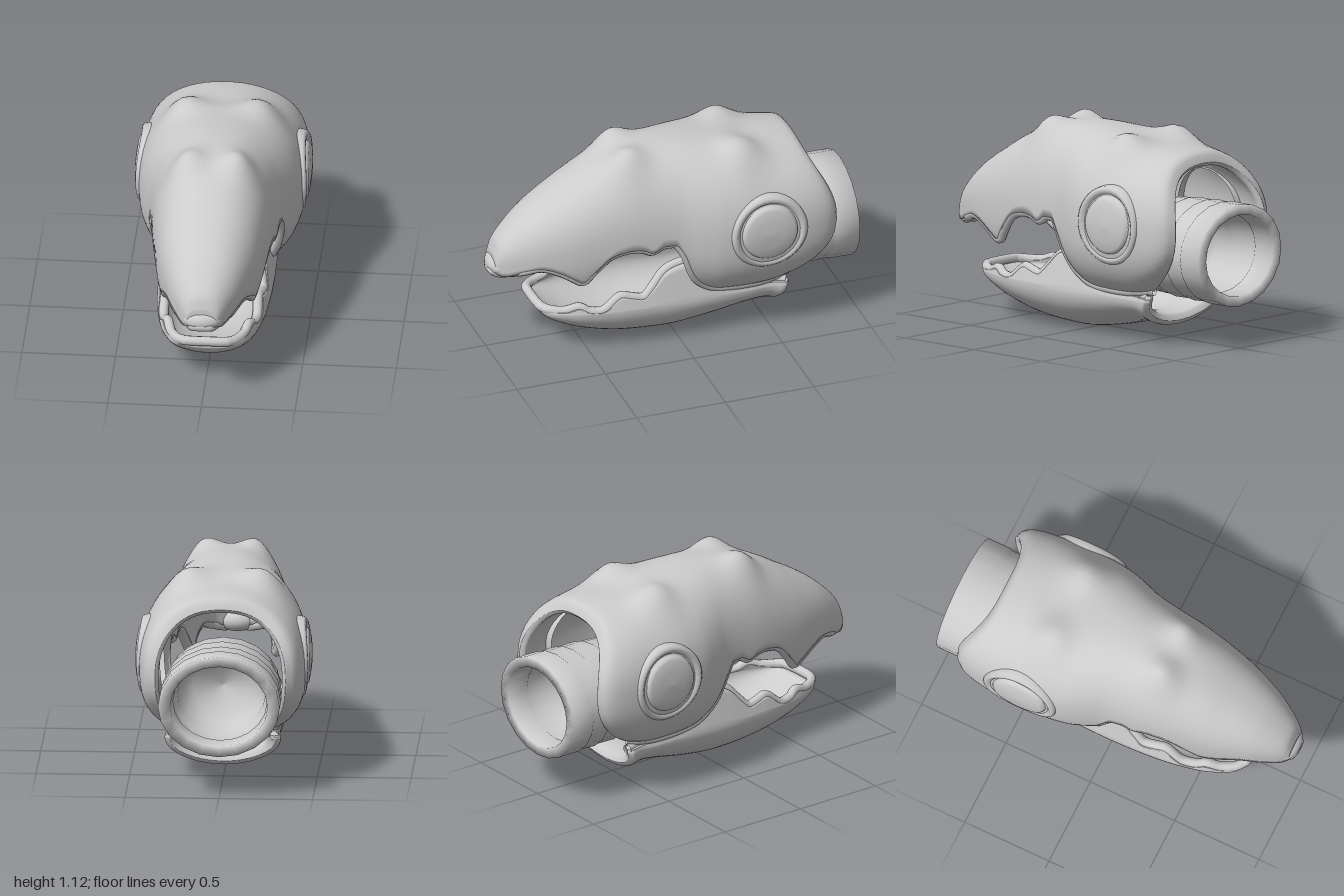
import * as THREE from 'three';

const grey = new THREE.MeshStandardMaterial({ color: 0xcccccc, side: THREE.DoubleSide });

// Smooth function through [z, value] pairs (z descending)
function track(pts) {
  const n = pts.length;
  const slope = (i) => {
    const a = pts[Math.max(i - 1, 0)], b = pts[Math.min(i + 1, n - 1)];
    return (b[1] - a[1]) / (b[0] - a[0]);
  };
  return (z) => {
    if (z >= pts[0][0]) return pts[0][1];
    if (z <= pts[n - 1][0]) return pts[n - 1][1];
    let i = 0;
    while (z < pts[i + 1][0]) i++;
    const [z0, v0] = pts[i], [z1, v1] = pts[i + 1];
    const h = z1 - z0, t = (z - z0) / h, s = 1 - t;
    return v0 * (1 + 2 * t) * s * s + v1 * t * t * (3 - 2 * t) + h * t * s * (s * slope(i) - t * slope(i + 1));
  };
}

// Skin closed sections; each is an outer arc followed by the reversed inner arc
function loft(sections) {
  const m = sections[0].length, rows = sections.length, index = [];
  for (let i = 0; i < rows - 1; i++) {
    for (let j = 0; j < m; j++) {
      const k = (j + 1) % m, a = i * m + j, b = i * m + k, c = a + m, d = b + m;
      index.push(a, c, b, c, d, b);
    }
  }
  for (let j = 0; j < m / 2 - 1; j++) {
    const a = j, b = j + 1, c = m - 2 - j, d = m - 1 - j, o = (rows - 1) * m;
    index.push(a, b, d, b, c, d, o + a, o + d, o + b, o + b, o + d, o + c);
  }
  const g = new THREE.BufferGeometry().setFromPoints(sections.flat());
  g.setIndex(index);
  g.computeVertexNormals();
  return g;
}

function add(parent, name, geometry) {
  const mesh = new THREE.Mesh(geometry, grey);
  mesh.name = name;
  parent.add(mesh);
  return mesh;
}

// Rounded lip along the mouth edge of a lofted wall
function lip(sections, radius) {
  const m = sections[0].length, path = [];
  const mid = (s, j) => s[j].clone().lerp(s[m - 1 - j], 0.5);
  for (let i = sections.length - 1; i >= 0; i -= 2) path.push(mid(sections[i], 0));
  for (let i = 1; i < sections.length; i += 2) path.push(mid(sections[i], m / 2 - 1));
  return new THREE.TubeGeometry(new THREE.CatmullRomCurve3(path), 360, radius, 10);
}

// Rows are packed more tightly towards the tip
const stations = (front, back, n) =>
  Array.from({ length: n + 1 }, (_, i) => front + (back - front) * Math.pow(i / n, 1.2));

const sPow = (v, p) => Math.sign(v) * Math.pow(Math.abs(v), p);
const bump = (x, z, cx, cz, r) => Math.exp(-((x - cx) ** 2 + (z - cz) ** 2) / (r * r));
// Half-round closing of a wall over its last stretch, 0 to 0.5 of the thickness
const rounding = (z, start, end) => {
  const q = THREE.MathUtils.clamp((start - z) / (start - end), 0, 1);
  return 0.48 * (1 - Math.sqrt(1 - q * q));
};

// Upper shell profiles
const shellTop = track([[0.99, 0.53], [0.965, 0.595], [0.95, 0.64], [0.9, 0.7], [0.8, 0.79], [0.7, 0.86], [0.6, 0.92],
  [0.5, 0.98], [0.4, 1.03], [0.25, 1.085], [0, 1.11], [-0.3, 1.085], [-0.45, 1.055], [-0.6, 1.045], [-0.7, 1.03], [-0.74, 1.01]]);
const shellEdge = track([[0.99, 0.49], [0.94, 0.47], [0.85, 0.5], [0.75, 0.53], [0.65, 0.5], [0.57, 0.45],
  [0.53, 0.43], [0.49, 0.48], [0.4, 0.58], [0.3, 0.615], [0.22, 0.61], [0.17, 0.59], [0.1, 0.625], [0.04, 0.62],
  [-0.01, 0.54], [-0.05, 0.43], [-0.1, 0.35], [-0.18, 0.295], [-0.27, 0.28], [-0.5, 0.28], [-0.74, 0.295]]);
const shellWidth = track([[0.99, 0.06], [0.95, 0.1], [0.9, 0.135], [0.8, 0.19], [0.7, 0.23], [0.6, 0.262], [0.5, 0.285],
  [0.3, 0.32], [0.1, 0.345], [0, 0.365], [-0.1, 0.4], [-0.2, 0.43], [-0.35, 0.448], [-0.55, 0.445], [-0.66, 0.425], [-0.74, 0.385]]);
const shellMid = track([[0.99, 0.51], [0.9, 0.55], [0.7, 0.59], [0.4, 0.62], [-0.74, 0.63]]);

function shellSection(z) {
  const n = 48, outer = [], inner = [];
  const back = THREE.MathUtils.smoothstep(-z, 0.35, 0.73);
  const w = shellWidth(z), top = shellTop(z), mid = shellMid(z), drop = Math.max(mid - shellEdge(z), 0.002);
  const beta = Math.max(drop * 2.5, 0.01);
  // the wall thickens until the beak is solid
  const solid = THREE.MathUtils.smoothstep(z, 0.84, 0.95), wall = 0.054 + 0.02 * back;
  const tx = THREE.MathUtils.lerp(Math.min(wall, w * 0.4), w * 0.9, solid);
  const ty = THREE.MathUtils.lerp(wall, top - mid, solid);
  const e = rounding(z, -0.69, -0.74);
  for (let j = 0; j < n; j++) {
    const a = -beta + (Math.PI + 2 * beta) * j / (n - 1), s = Math.sin(a);
    const low = s < 0 ? Math.pow(-s / Math.sin(beta), 0.8) : 0;
    const shift = back * (s < 0 ? -0.12 + 0.25 * Math.pow(low, 2.2) : -0.12 * Math.abs(Math.cos(a)) ** 3);
    const point = (f) => {
      const x = (w - f * tx) * sPow(Math.cos(a), 0.88);
      let y = s < 0 ? mid - drop * low : mid + (top - f * ty - mid) * Math.pow(s, 0.88);
      // paired brow and crown bumps
      if (s > 0) y += s * s * (0.08 * bump(Math.abs(x), z, 0.165, 0.25, 0.1) + 0.085 * bump(Math.abs(x), z, 0.23, -0.38, 0.115));
      return new THREE.Vector3(x, y, z + shift);
    };
    outer.push(point(e));
    inner.unshift(point(1 - e));
  }
  return outer.concat(inner);
}

// Lower jaw profiles
const jawEdge = track([[0.75, 0.26], [0.7, 0.25], [0.62, 0.25], [0.55, 0.27], [0.5, 0.245], [0.42, 0.245],
  [0.33, 0.31], [0.27, 0.3], [0.2, 0.29], [0.15, 0.335], [0.08, 0.41], [0, 0.44], [-0.08, 0.44], [-0.2, 0.36], [-0.3, 0.28], [-0.59, 0.255]]);
const jawBottom = track([[0.75, 0.235], [0.7, 0.17], [0.6, 0.11], [0.5, 0.07], [0.4, 0.04], [0.3, 0.02], [0.15, 0.006],
  [0, 0.005], [-0.2, 0.035], [-0.4, 0.08], [-0.5, 0.085], [-0.59, 0.07]]);
const jawWidth = track([[0.75, 0.12], [0.7, 0.185], [0.6, 0.235], [0.5, 0.265], [0.3, 0.295], [0, 0.308], [-0.4, 0.3], [-0.5, 0.295], [-0.59, 0.32]]);

function jawSection(z) {
  const n = 40, wall = 7, outer = [], inner = [];
  const back = THREE.MathUtils.smoothstep(-z, 0.4, 0.57);
  const edge = jawEdge(z), bottom = jawBottom(z), w = jawWidth(z), mid = Math.min(edge - 0.005, 0.235);
  const t = Math.min(0.056 + 0.02 * THREE.MathUtils.smoothstep(-z, -0.25, 0.05), w * 0.4);
  const floor = Math.min(bottom + 0.06, mid - 0.002), e = rounding(z, -0.555, -0.59);
  for (let j = 0; j < n; j++) {
    const up = Math.max(wall - j, j - (n - 1 - wall), 0) / wall;
    const a = Math.PI * THREE.MathUtils.clamp((j - wall) / (n - 1 - 2 * wall), 0, 1);
    const point = (f) => {
      const base = THREE.MathUtils.lerp(bottom, floor, f);
      const y = up > 0 ? mid + (edge - mid) * up : mid - (mid - base) * Math.sin(a);
      const lean = 0.22 * Math.max(y - mid, 0);
      return new THREE.Vector3(-(w - f * t - lean) * sPow(Math.cos(a), 1.06), y, z + back * (0.05 * Math.sin(a) - 0.02));
    };
    outer.push(point(e));
    inner.unshift(point(1 - e));
  }
  return outer.concat(inner);
}

const lathe = (profile, segments) =>
  new THREE.LatheGeometry(profile.map(([r, y]) => new THREE.Vector2(r, y)), segments);

export function createModel() {
  const model = new THREE.Group();
  model.name = 'clawHead';

  // Upper shell with its toothed lip and rounded beak tip
  const shell = stations(0.972, -0.74, 140).map(shellSection);
  add(model, 'upperShell', loft(shell));
  add(model, 'upperLip', lip(shell, 0.026));
  const tip = add(model, 'beakTip', new THREE.SphereGeometry(1, 24, 16));
  tip.scale.set(0.105, 0.06, 0.07);
  tip.position.set(0, 0.505, 0.93);

  // Hollow lower jaw
  const jaw = stations(0.735, -0.59, 120).map(jawSection);
  add(model, 'lowerJaw', loft(jaw));
  add(model, 'lowerLip', lip(jaw, 0.026));

  // Stepped neck tube, open at the back
  const neck = add(model, 'neck', lathe([[0, 0.42], [0.8, 0.42], [0.93, 0.48], [0.95, 0.62], [0.975, 0.63], [0.965, 0.75],
    [0.99, 0.76], [0.975, 0.86], [1, 0.87], [1, 1], [0.8, 1], [0.77, 0.88], [0.82, 0.86], [0.78, 0.74], [0.72, 0.73],
    [0.68, 0.62], [0.5, 0.54], [0, 0.5]], 20).rotateX(-Math.PI / 2));
  neck.scale.set(0.325, 0.275, 1);
  neck.position.y = 0.505;

  // Domed pivot disc in a rounded ring on each side, bent to follow the shell
  const pivot = lathe([[0.21, -0.1], [0.218, -0.02], [0.212, 0.016], [0.2, 0.027], [0.185, 0.027], [0.17, 0.014], [0.163, 0.002],
    [0.157, 0.012], [0.15, 0.026], [0.135, 0.035], [0.08, 0.039], [0, 0.041]], 40);
  const pos = pivot.attributes.position;
  for (let i = 0; i < pos.count; i++) pos.setY(i, pos.getY(i) - 0.5 * pos.getX(i) ** 2);
  pivot.computeVertexNormals();
  for (const side of [1, -1]) {
    const disc = add(model, side > 0 ? 'leftPivot' : 'rightPivot', pivot);
    disc.rotation.z = -side * Math.PI / 2;
    disc.position.set(side * 0.43, 0.655, -0.45);
  }
  return model;
}
